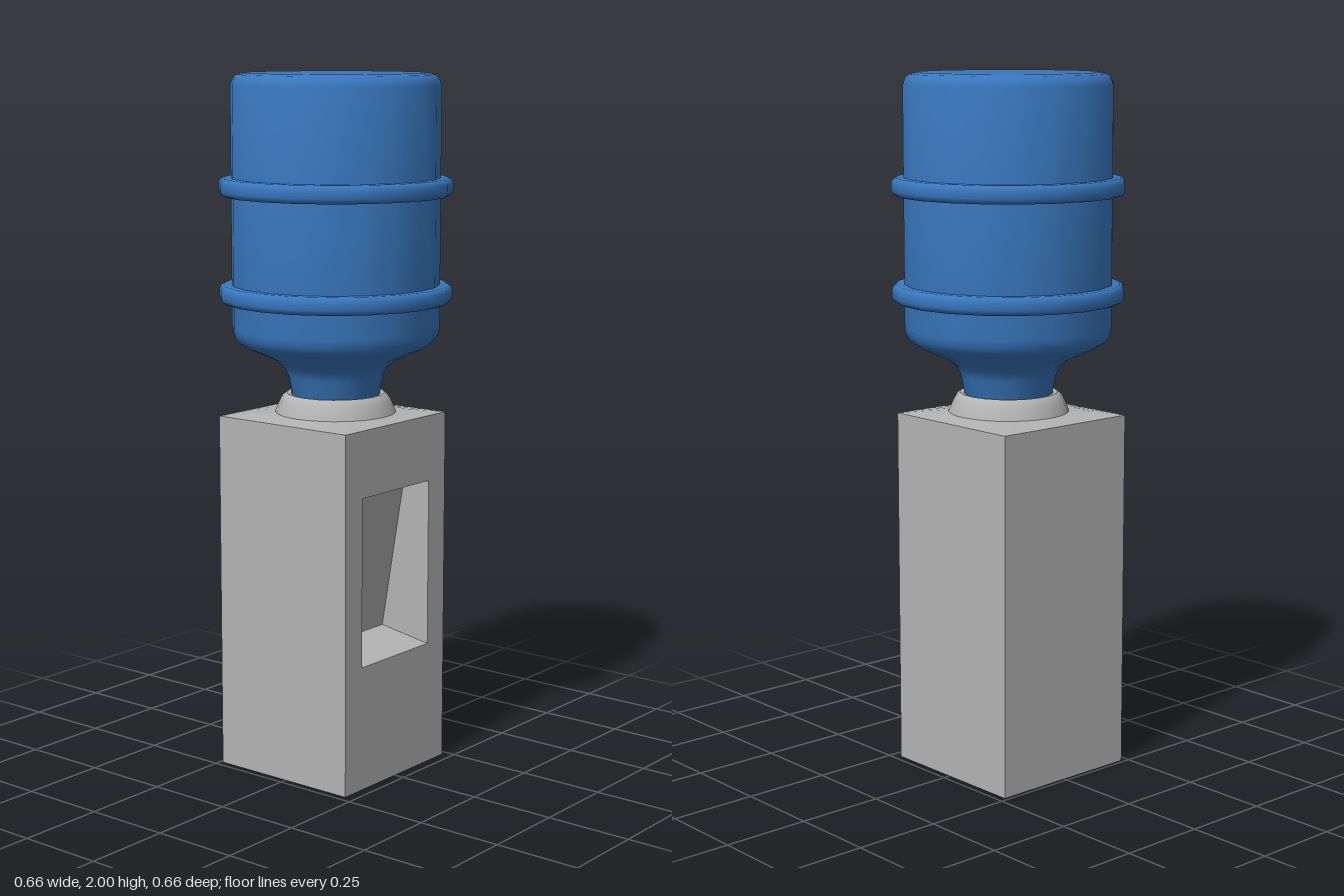
import * as THREE from 'three';
import { toCreasedNormals } from 'three/addons/utils/BufferGeometryUtils.js';

const grey = new THREE.MeshStandardMaterial({ color: 0xb3b3b3 });
grey.name = 'grey plastic';
const blue = new THREE.MeshStandardMaterial({ color: 0x3877bd });
blue.name = 'blue bottle';

// Flat faces from quads, corners counter-clockwise seen from outside
function quads(list) {
  const pos = [];
  for (const [a, b, c, d] of list) pos.push(...a, ...b, ...c, ...a, ...c, ...d);
  const g = new THREE.BufferGeometry();
  g.setAttribute('position', new THREE.Float32BufferAttribute(pos, 3));
  g.computeVertexNormals();
  return g;
}

// Round part from [radius, height] points, bottom to top on the outside
function lathe(points, crease = 0.75) {
  const g = new THREE.LatheGeometry(points.map(([r, y]) => new THREE.Vector2(r, y)), 20);
  return toCreasedNormals(g, crease);
}

export function createModel() {
  const group = new THREE.Group();
  const add = (name, geometry, material) => {
    const mesh = new THREE.Mesh(geometry, material);
    mesh.name = name;
    group.add(mesh);
  };

  // Cabinet extents and the four corners of each horizontal or upright outline
  const w = 0.23, h = 1.035, zf = 0.22, zb = -0.24, zc = (zf + zb) / 2;
  const base = [[-w, 0, zf], [w, 0, zf], [w, 0, zb], [-w, 0, zb]];
  const top = base.map(([x, , z]) => [x, h, z]);
  const walls = [1, 2, 3].map((i) => {
    const j = (i + 1) % 4;
    return [base[i], base[j], top[j], top[i]];
  });
  add('cabinetWalls', quads([...walls, [base[3], base[2], base[1], base[0]]]), grey);

  // Front panel with the dispensing opening
  const rim = [[-0.155, 0.36, zf], [0.152, 0.36, zf], [0.152, 0.845, zf], [-0.155, 0.845, zf]];
  const front = new THREE.Shape([[-w, 0], [w, 0], [w, h], [-w, h]].map((p) => new THREE.Vector2(...p)));
  front.holes.push(new THREE.Path(rim.map(([x, y]) => new THREE.Vector2(x, y))));
  add('frontPanel', new THREE.ShapeGeometry(front).translate(0, 0, zf), grey);

  // Recess, deeper at the bottom than at the top
  const inner = [[-0.145, 0.39, zf - 0.16], [0.145, 0.39, zf - 0.16],
    [0.145, 0.83, zf - 0.085], [-0.145, 0.83, zf - 0.085]];
  const recess = rim.map((p, i) => {
    const j = (i + 1) % 4;
    return [p, rim[j], inner[j], inner[i]];
  });
  add('dispenserRecess', quads([...recess, inner]), grey);

  // Lid blending from the square cabinet to the round collar
  const lid = [];
  const n = 40;
  const lidPoint = (i, round) => {
    const a = (i / n) * Math.PI * 2, s = Math.sin(a), c = Math.cos(a);
    if (round) return [0.172 * s, h + 0.01, 0.172 * c];
    const k = w / Math.max(Math.abs(s), Math.abs(c));
    return [s * k, h, zc + c * k];
  };
  for (let i = 0; i < n; i++) {
    lid.push([lidPoint(i, false), lidPoint(i + 1, false), lidPoint(i + 1, true), lidPoint(i, true)]);
  }
  add('cabinetLid', quads(lid), grey);

  // Collar that holds the bottle neck
  add('collar', lathe([[0.174, 1.04], [0.172, 1.048], [0.158, 1.08], [0.15, 1.093], [0.14, 1.1],
    [0.128, 1.098], [0.118, 1.08], [0.11, 1.05]]), grey);

  // Upturned bottle
  add('bottle', lathe([[0, 1.08], [0.118, 1.08], [0.127, 1.1], [0.136, 1.15], [0.15, 1.178], [0.178, 1.2],
    [0.258, 1.236], [0.279, 1.25], [0.291, 1.267], [0.295, 1.29],
    [0.295, 1.965], [0.289, 1.983], [0.277, 1.995], [0.255, 2], [0.21, 2], [0, 2]]), blue);

  // Two rounded hoops around the bottle
  for (const [name, y] of [['lowerHoop', 1.386], ['upperHoop', 1.685]]) {
    add(name, lathe([[0.29, y - 0.025], [0.318, y - 0.025], [0.326, y - 0.02], [0.33, y - 0.01],
      [0.33, y + 0.01], [0.326, y + 0.02], [0.318, y + 0.025], [0.29, y + 0.025]], 0.9), blue);
  }

  return group;
}
